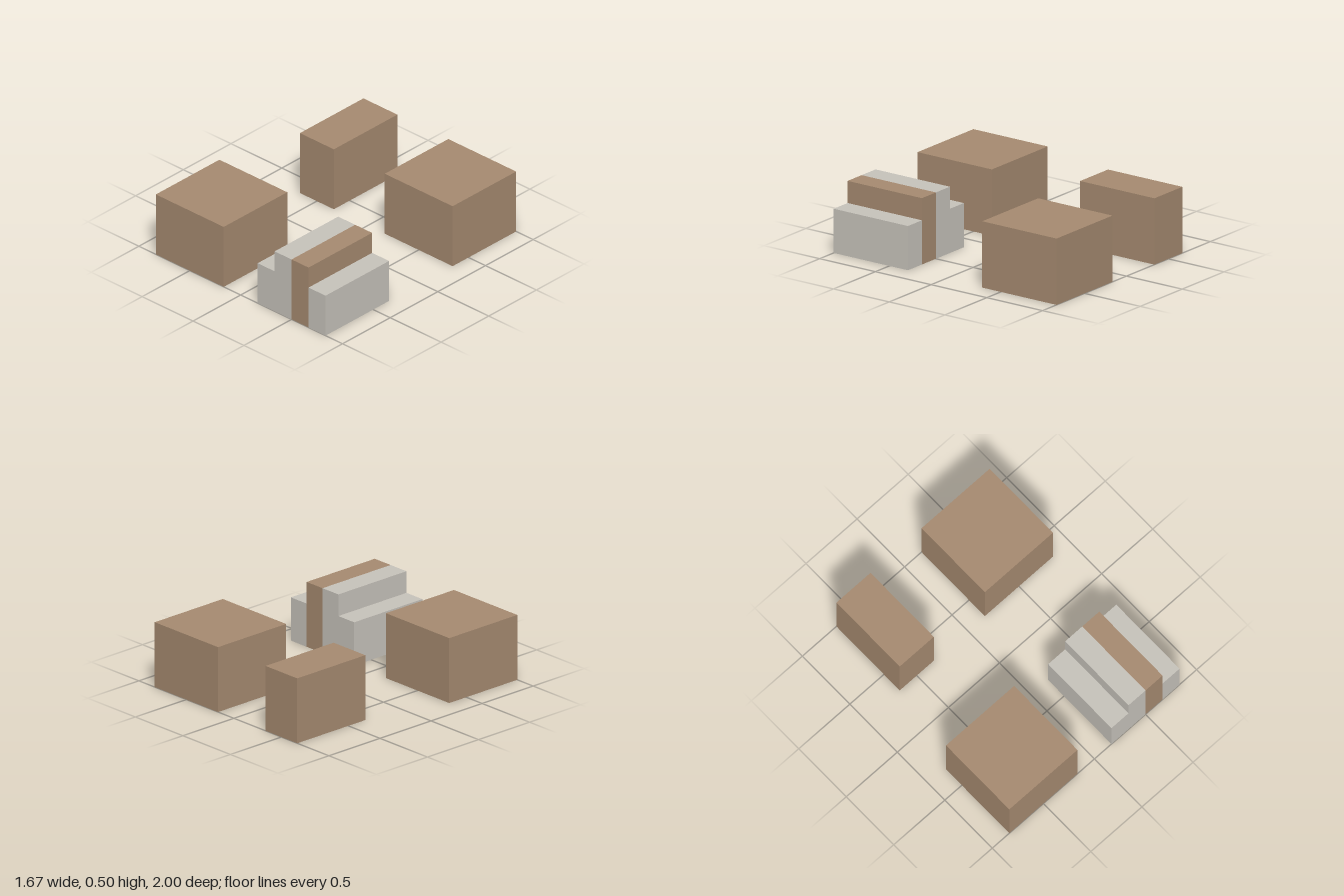
import * as THREE from 'three';

const U = 1 / 6; // grid module

// Box shell between two corners (in grid modules), keeping only the listed faces
const FACES = ['+x', '-x', '+y', '-y', '+z', '-z'];
function shell(name, material, [x0, x1], [y0, y1], [z0, z1], keep) {
  const geo = new THREE.BoxGeometry((x1 - x0) * U, (y1 - y0) * U, (z1 - z0) * U);
  const all = Array.from(geo.index.array);
  geo.setIndex(keep.flatMap((f) => {
    const i = FACES.indexOf(f) * 6;
    return all.slice(i, i + 6);
  }));
  geo.clearGroups();
  geo.translate((x0 + x1) / 2 * U, (y0 + y1) / 2 * U, (z0 + z1) / 2 * U);
  const mesh = new THREE.Mesh(geo, material);
  mesh.name = name;
  return mesh;
}

export function createModel() {
  const brown = new THREE.MeshStandardMaterial({ color: 0xa78b71, side: THREE.DoubleSide });
  brown.name = 'brown';
  const grey = new THREE.MeshStandardMaterial({ color: 0xc8c4bc, side: THREE.DoubleSide });
  grey.name = 'warmGrey';

  const model = new THREE.Group();
  model.name = 'blocks';

  // Plain blocks, hollow and open underneath
  const open = ['+x', '-x', '+y', '+z', '-z'];
  model.add(
    shell('frontRightBlock', brown, [-5, -1], [0, 3], [2, 6], open),
    shell('backLeftBlock', brown, [1, 5], [0, 3], [-6, -2], open),
    shell('narrowBackBlock', brown, [-4, -2], [0, 3], [-6, -2], open),
  );

  // Stepped block with a raised middle, one half of it brown; hollow and open underneath
  const stepped = new THREE.Group();
  stepped.name = 'steppedBlock';
  const z = [2, 6];
  stepped.add(
    shell('rightStep', grey, [1, 2], [0, 2], z, ['-x', '+y', '+z', '-z']),
    shell('greyBandBase', grey, [2, 3], [0, 2], z, ['+z', '-z']),
    shell('greyBandTop', grey, [2, 3], [2, 3], z, ['-x', '+y', '+z', '-z']),
    shell('brownBandBase', brown, [3, 4], [0, 2], z, ['+z', '-z']),
    shell('brownBandTop', brown, [3, 4], [2, 3], z, ['+x', '+y', '+z', '-z']),
    shell('leftStep', grey, [4, 5], [0, 2], z, ['+x', '+y', '+z', '-z']),
  );
  model.add(stepped);
  return model;
}
